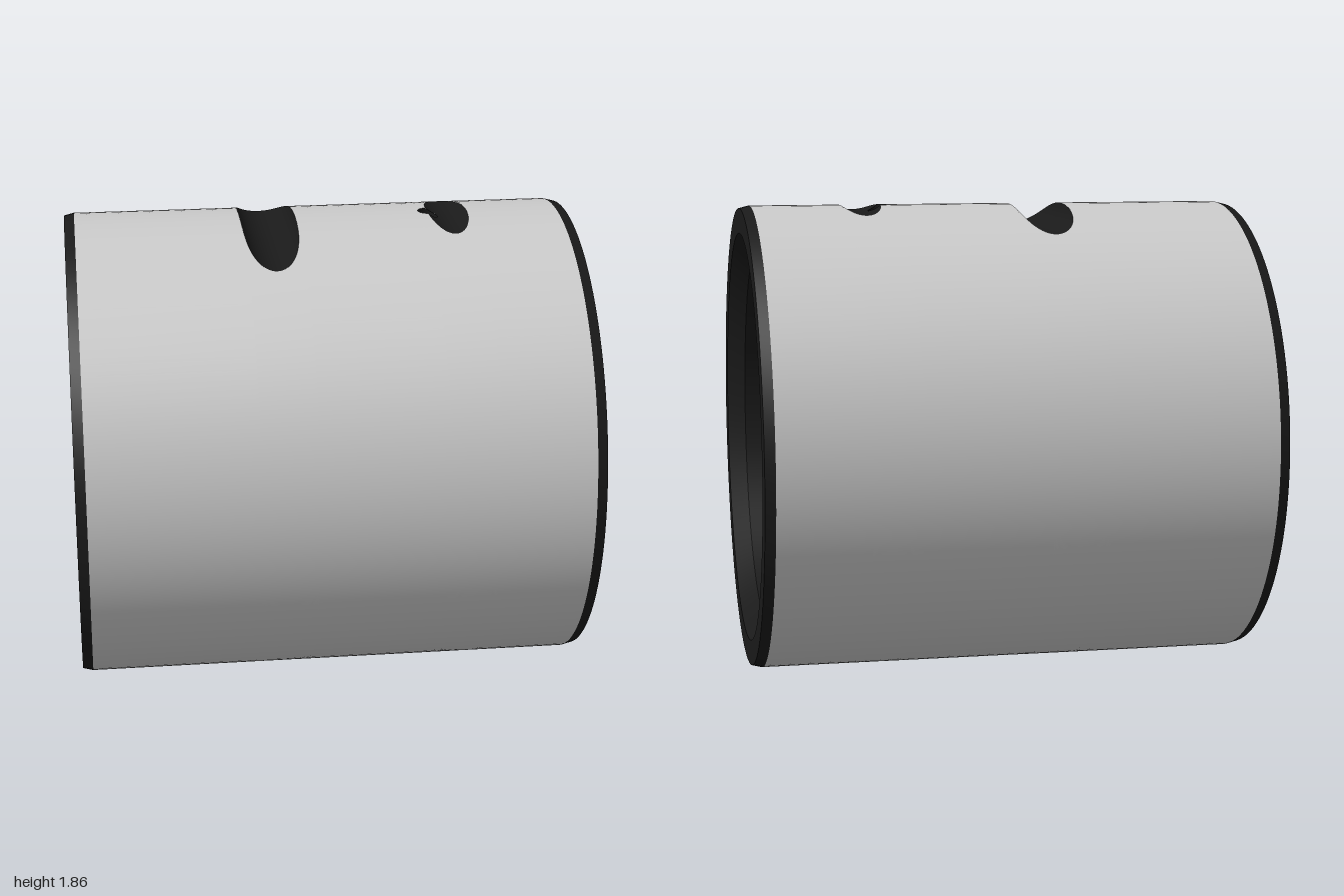
import * as THREE from 'three';
import { toCreasedNormals } from 'three/addons/utils/BufferGeometryUtils.js';

const R = 0.93;        // outer radius
const SEAT = 0.78;     // radius of the oil channel inside the bore
const SEG = 64;        // steps per half turn
const HOLE = { x: 0.445, r: 0.04 };
// Round-bottomed cuts running straight along z: axis height, radius, top (1) / bottom (-1)
const CUTS = [
  { x: -0.2, y: 0.94, r: 0.11, sides: [1] },
  { x: 0.52, y: 1.02, r: 0.12, sides: [1, -1] },
];
for (const c of CUTS) c.half = Math.sqrt(c.r ** 2 - (c.y - R) ** 2);

const root = (v) => Math.sqrt(Math.max(0, v));
const holeHalf = (x) => root(HOLE.r ** 2 - (x - HOLE.x) ** 2);

// Height of the outer surface above the axis on the line z = 0
function height(x, side) {
  let h = R;
  for (const c of CUTS) {
    if (c.sides.includes(side) && Math.abs(x - c.x) < c.half) {
      h = Math.min(h, c.y - root(c.r ** 2 - (x - c.x) ** 2));
    }
  }
  return h;
}
const cutHalf = (x, side) => root(R * R - height(x, side) ** 2);

// Closely spaced columns towards both ends of a span
const span = (x, half, n) =>
  Array.from({ length: n + 1 }, (_, i) => x - half * Math.cos((i / n) * Math.PI));
const sorted = (list) =>
  list.sort((a, b) => a - b).filter((x, i, all) => i === 0 || x - all[i - 1] > 1e-6);

// Surface through columns xs; point(x, t) gives a position for t from 0 to 1
function loft(xs, steps, flip, point) {
  const pos = [], index = [];
  xs.forEach((x, i) => {
    for (let j = 0; j <= steps; j++) {
      pos.push(...point(x, j / steps));
      if (i === 0 || j === 0) continue;
      const d = i * (steps + 1) + j, c = d - 1, b = d - steps - 1, a = b - 1;
      if (flip) index.push(a, c, b, b, c, d);
      else index.push(a, b, c, b, d, c);
    }
  });
  const geo = new THREE.BufferGeometry();
  geo.setAttribute('position', new THREE.Float32BufferAttribute(pos, 3));
  geo.setIndex(index);
  geo.computeVertexNormals();
  return geo;
}

// Half of a cylinder wall whose edges stop at the openings
function halfWall(xs, radius, s, inward, opening) {
  const geo = loft(xs, SEG, (s > 0) === inward, (x, t) => {
    const a = Math.asin(Math.min(1, opening(x, 1) / radius));
    const b = Math.PI - Math.asin(Math.min(1, opening(x, -1) / radius));
    const angle = a + (b - a) * t;
    return [x, radius * Math.cos(angle), s * radius * Math.sin(angle)];
  });
  const p = geo.attributes.position, n = geo.attributes.normal;
  const k = (inward ? -1 : 1) / radius;
  for (let i = 0; i < p.count; i++) n.setXYZ(i, 0, p.getY(i) * k, p.getZ(i) * k);
  return geo;
}

// Turned surface from [x, radius] points
function turned(points) {
  const geo = new THREE.LatheGeometry(points.map(([x, r]) => new THREE.Vector2(r, x)), SEG * 2);
  geo.rotateZ(-Math.PI / 2);
  return toCreasedNormals(geo, 0.5);
}

export function createModel() {
  const model = new THREE.Group();
  const steel = new THREE.MeshStandardMaterial({ color: 0xcccccc });
  const dark = new THREE.MeshStandardMaterial({ color: 0x1a1a1a });
  dark.side = THREE.DoubleSide;

  const add = (name, geo, material) => {
    const mesh = new THREE.Mesh(geo, material);
    mesh.name = name;
    mesh.position.y = R;
    model.add(mesh);
  };

  const holeXs = span(HOLE.x, HOLE.r, 20);
  const outerXs = sorted([-0.96, 0.96, ...holeXs, ...CUTS.flatMap((c) => span(c.x, c.half, 32))]);
  const seatXs = sorted([0.38, 0.51, ...holeXs]);

  // Outer skin and oil channel, in front and back halves
  for (const s of [1, -1]) {
    const end = s > 0 ? 'Front' : 'Back';
    add('outerSleeve' + end,
      halfWall(outerXs, R, s, false, (x, v) => Math.max(cutHalf(x, v), holeHalf(x))), steel);
    add('oilChannel' + end, halfWall(seatXs, SEAT, s, true, holeHalf), dark);
  }

  // Cut floors, split at z = 0 so the drilled hole can pass
  for (const c of CUTS) {
    const xs = outerXs.filter((x) => Math.abs(x - c.x) <= c.half + 1e-6);
    for (const v of c.sides) for (const s of [1, -1]) {
      add('cutFloor', loft(xs, 8, s * v > 0, (x, t) => {
        const outer = cutHalf(x, v), inner = Math.min(outer, holeHalf(x));
        return [x, v * height(x, v), s * (inner + (outer - inner) * t)];
      }), dark);
    }
  }

  // Walls of the holes drilled through top and bottom
  for (const v of [1, -1]) for (const s of [1, -1]) {
    add('oilHole', loft(sorted([...holeXs]), 1, s * v > 0, (x, t) => {
      const w = holeHalf(x);
      const low = root(SEAT ** 2 - w * w), high = Math.min(height(x, v), root(R * R - w * w));
      return [x, v * (low + (high - low) * t), s * w];
    }), dark);
  }

  // Left mouth: outer chamfer, end face, inner chamfer, bore up to the channel
  add('leftMouth', turned([
    [0.51, SEAT], [0.53, 0.75], [0.93, 0.75], [1, 0.82], [1, 0.92], [0.96, R],
  ]), dark);

  // Main bore with seal groove and right mouth
  add('boreAndRightMouth', turned([
    [-0.96, R], [-1, 0.92], [-1, 0.83], [-0.96, 0.77], [-0.94, 0.77], [-0.94, 0.8],
    [-0.88, 0.8], [-0.88, 0.75], [0.36, 0.75], [0.38, SEAT],
  ]), dark);

  return model;
}
